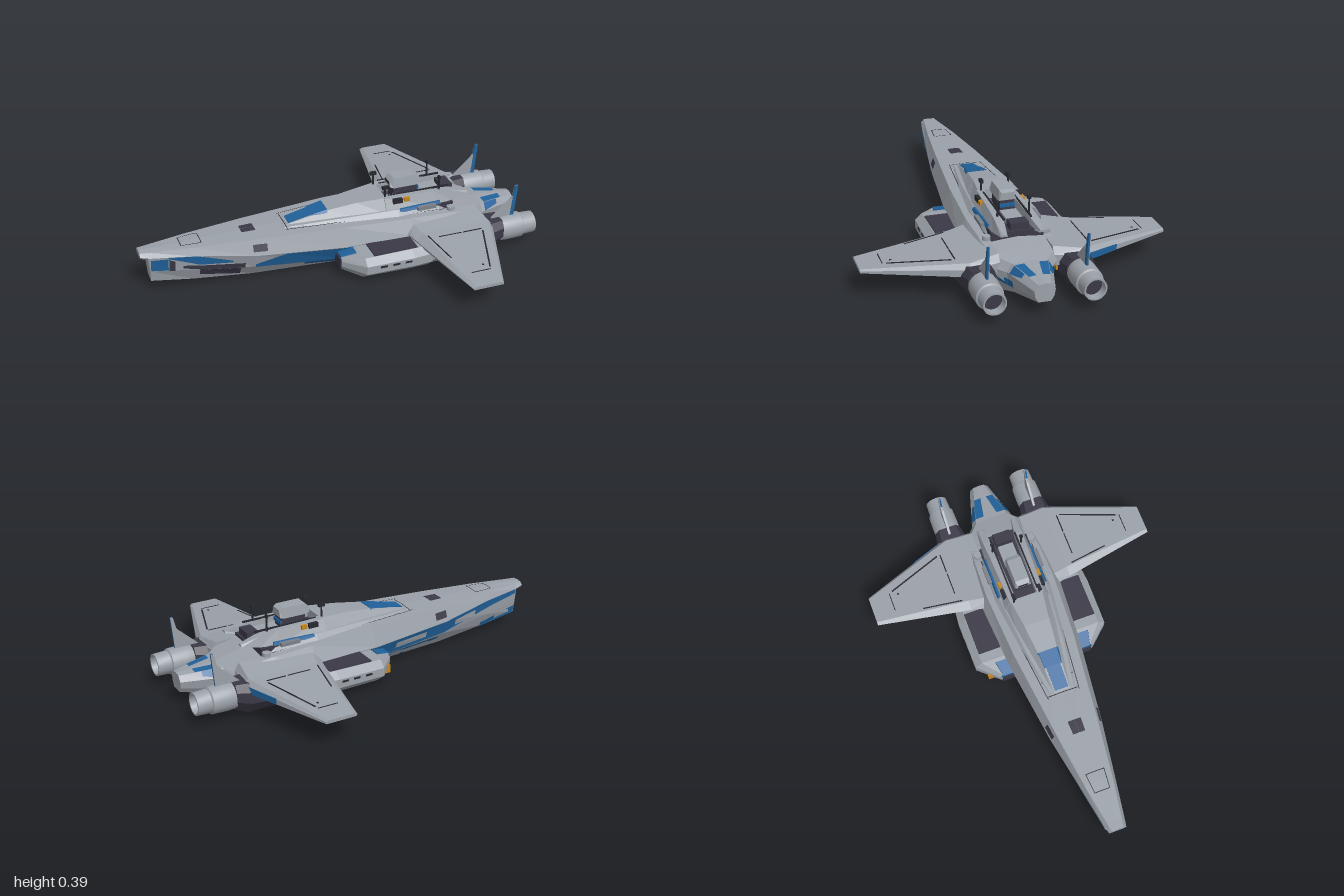
import * as THREE from 'three';
import { toCreasedNormals } from 'three/addons/utils/BufferGeometryUtils.js';

const material = (name, color) => Object.assign(new THREE.MeshStandardMaterial({ color }), { name });

export function createModel() {
  const model = new THREE.Group();
  model.name = 'starship';
  const grey = material('hull grey', 0x9ba1a9);
  const steel = material('steel grey', 0x7b8088);
  const blue = material('paint blue', 0x20619a);
  const dark = material('dark violet grey', 0x3a3845);
  const black = material('panel black', 0x26272d);
  const orange = material('marker orange', 0xc4851c);

  const add = (name, geometry, mat) => {
    const mesh = new THREE.Mesh(geometry, mat);
    mesh.name = name;
    model.add(mesh);
    return mesh;
  };
  const box = (name, mat, x0, x1, y0, y1, z0, z1) =>
    add(name, new THREE.BoxGeometry(x1 - x0, y1 - y0, Math.abs(z1 - z0)), mat)
      .position.set((x0 + x1) / 2, (y0 + y1) / 2, (z0 + z1) / 2);

  // Skin a row of cross-sections with flat faces; closed rings are capped
  const loft = (name, mat, rings, flip = false, closed = true) => {
    const out = [];
    const tri = (a, b, c) => (flip ? out.push(...a, ...c, ...b) : out.push(...a, ...b, ...c));
    const n = rings[0].length;
    for (let i = 0; i < rings.length - 1; i++) {
      for (let j = 0; j < (closed ? n : n - 1); j++) {
        const k = (j + 1) % n, [p, q] = [rings[i], rings[i + 1]];
        tri(p[j], p[k], q[k]);
        tri(p[j], q[k], q[j]);
      }
    }
    if (closed) {
      const [first, last] = [rings[0], rings[rings.length - 1]];
      for (let j = 1; j < n - 1; j++) {
        tri(first[0], first[j + 1], first[j]);
        tri(last[0], last[j], last[j + 1]);
      }
    }
    const g = new THREE.BufferGeometry();
    g.setAttribute('position', new THREE.Float32BufferAttribute(out, 3));
    g.computeVertexNormals();
    return add(name, g, mat);
  };
  // Trapezoid blocks: rows of x, bottom y, top y, bottom z range, top z range
  const block = (name, mat, rows, s = 1) => loft(name, mat, rows.map(([x, y0, y1, a0, a1, b0, b1]) =>
    [[x, y1, s * b0], [x, y1, s * b1], [x, y0, s * a1], [x, y0, s * a0]]), s < 0);

  // Main hull: x, ridge y, deck half-width/y, knuckle, lower side, keel
  const stations = [
    [-1, .225, .03, .222, .045, .207, .04, .198, .03, .194],
    [-.965, .226, .036, .222, .052, .2, .044, .19, .034, .186],
    [-.955, .226, .038, .222, .054, .198, .046, .12, .036, .06],
    [-.75, .23, .072, .226, .088, .188, .078, .105, .05, .035],
    [-.45, .235, .11, .23, .138, .152, .118, .08, .07, .012],
    [0, .24, .16, .232, .193, .137, .16, .06, .09, 0],
    [.35, .24, .18, .225, .215, .145, .15, .07, .1, 0],
    [.55, .228, .172, .212, .21, .145, .145, .07, .1, 0],
    [.69, .2, .16, .19, .195, .145, .14, .07, .1, 0],
    [.78, .18, .085, .175, .11, .135, .1, .07, .075, .03],
    [.985, .165, .03, .16, .05, .132, .045, .1, .03, .075],
  ];
  const half = ([x, t, dw, dy, kw, ky, mw, my, bw, by]) =>
    [[x, t, 0], [x, dy, dw], [x, ky, kw], [x, my, mw], [x, by, bw], [x, by, 0]];
  const mirror = ([x, y, z]) => [x, y, -z];
  loft('hull', grey, stations.map((st) => {
    const h = half(st);
    return [...h, ...h.slice(1, 5).reverse().map(mirror)];
  }));

  // Painted skins lying on a hull band; ends are [x, from, to] across the band
  const hullPoint = (band, x, t) => {
    let i = 0;
    while (i < stations.length - 2 && stations[i + 1][0] < x) i++;
    const a = stations[i], b = stations[i + 1], f = (x - a[0]) / (b[0] - a[0]);
    const h = half(a.map((v, k) => v + (b[k] - v) * f));
    return new THREE.Vector3(...h[band]).lerp(new THREE.Vector3(...h[band + 1]), t);
  };
  const BOTH = [1, -1], LEFT = [1], RIGHT = [-1];
  const paint = (name, mat, band, [x0, a0, a1], [x1, b0, b1], sides = BOTH) => {
    const xs = [x0, ...stations.map((s) => s[0]).filter((x) => x > x0 && x < x1), x1];
    const rings = xs.map((x) => {
      const f = (x - x0) / (x1 - x0);
      const p = hullPoint(band, x, a0 + (b0 - a0) * f), q = hullPoint(band, x, a1 + (b1 - a1) * f);
      const e = hullPoint(band, x, 1).sub(hullPoint(band, x, 0));
      const n = new THREE.Vector3(0, e.z, -e.y).normalize().multiplyScalar(.003);
      return [p.add(n).toArray(), q.add(n).toArray()];
    });
    for (const s of sides) loft(name, mat, s > 0 ? rings : rings.map((r) => r.map(mirror)), s < 0, false);
  };
  const TOP = 0, SIDE = 1, LOWER = 2, CHINE = 3, KEEL = 4;
  // Left flank paint
  paint('noseBluePanel', blue, LOWER, [-.953, .15, .95], [-.87, .1, .95], LEFT);
  paint('noseDarkStrip', dark, LOWER, [-.866, .15, 1], [-.838, .3, 1], LEFT);
  paint('flankBlueWedge', blue, LOWER, [-.87, 0, .08], [-.72, 0, .62], LEFT);
  paint('flankBlueWedgeAft', blue, LOWER, [-.72, 0, .62], [-.56, .35, .5], LEFT);
  paint('flankDarkPatch', dark, LOWER, [-.8, .65, .85], [-.7, .68, 1], LEFT);
  paint('flankDarkPatchAft', dark, LOWER, [-.7, .68, 1], [-.5, .6, 1], LEFT);
  paint('flankDarkChine', dark, CHINE, [-.72, 0, .5], [-.52, 0, .75], LEFT);
  paint('flankBlueSweep', blue, LOWER, [-.45, .75, 1], [-.3, 0, 1], LEFT);
  paint('flankBlueAft', blue, LOWER, [-.3, 0, 1], [.02, 0, 1], LEFT);
  // Right flank paint
  paint('noseBlueStreak', blue, LOWER, [-.95, 0, .3], [-.78, 0, .45], RIGHT);
  paint('flankBlueSweep', blue, LOWER, [-.78, 0, .45], [-.45, 0, .9], RIGHT);
  paint('flankBlueAft', blue, LOWER, [-.45, 0, .9], [.02, 0, 1], RIGHT);
  paint('chineBlueSweep', blue, CHINE, [-.42, .1, .3], [-.2, 0, .9], RIGHT);
  paint('chineBlueNose', blue, CHINE, [-.95, .3, 1], [-.72, .6, 1], RIGHT);
  // Belly paint
  paint('chineBlueAft', blue, CHINE, [-.2, 0, .4], [-.02, 0, .7]);
  paint('keelBlue', blue, KEEL, [-.95, 0, 1], [-.55, 0, 1]);
  paint('keelDark', dark, KEEL, [-.55, .4, 1], [-.4, 0, 1]);
  paint('keelDarkAft', dark, KEEL, [-.4, 0, 1], [.62, 0, 1]);
  paint('chineDark', dark, CHINE, [-.02, .3, 1], [.62, .2, 1]);
  // Stern paint
  paint('keelSternBlue', blue, KEEL, [.7, 0, .8], [.82, .2, 1]);
  paint('tailBluePatch', blue, TOP, [.8, .45, 1], [.91, .3, 1]);
  paint('tailBlueSide', blue, SIDE, [.8, 0, 1], [.88, 0, .6]);
  paint('tailBlueLower', blue, LOWER, [.72, .4, 1], [.82, .5, 1]);
  // Deck details
  paint('deckHatch', dark, TOP, [-.49, 0, .3], [-.42, 0, .3]);
  for (const x of [-.8, -.7, -.27, -.19]) paint('deckSeam', black, TOP, [x, 0, .6], [x + .004, 0, .6]);
  paint('deckLongSeam', black, TOP, [-.8, .57, .62], [-.7, .57, .62]);
  paint('deckEdgeSeam', black, TOP, [-.28, .62, .645], [.55, .8, .82]);
  paint('sideVent', dark, SIDE, [-.46, .3, .75], [-.39, .3, .75]);

  // Superstructure: forward ramp, low deck, twin side blocks and a dark trench
  const sym = (x, y0, y1, a, b) => [x, y0, y1, -a, a, -b, b];
  block('lowDeck', grey, [sym(-.28, .228, .236, .07, .06), sym(0, .228, .25, .12, .1),
    sym(.3, .225, .255, .15, .125), sym(.52, .21, .25, .145, .12), sym(.56, .21, .24, .13, .11)]);
  block('bridgeRamp', grey, [sym(-.26, .23, .238, .05, .04), sym(-.05, .235, .282, .085, .05),
    sym(.1, .235, .302, .11, .065), sym(.25, .235, .312, .125, .085)]);
  block('bridgeBluePanel', blue, [sym(-.25, .236, .243, .035, .035), sym(-.13, .262, .27, .037, .037)]);
  block('bridgeBlueWindow', blue, [sym(-.13, .25, .27, .052, .044), sym(-.05, .268, .286, .06, .048)]);
  box('trenchFloor', dark, .23, .64, .25, .265, -.07, .07);
  box('aftDarkDeck', dark, .5, .6, .19, .247, -.128, .128);
  for (const s of [1, -1]) {
    block('sideBlock', grey, [[.24, .235, .312, .055, .128, .055, .09], [.5, .24, .308, .055, .125, .06, .1],
      [.6, .25, .298, .06, .118, .065, .105], [.69, .268, .278, .075, .11, .08, .1]], s);
    block('sideBlueStripe', blue, [[.31, .24, .256, .1, .135, .1, .128], [.53, .246, .262, .1, .13, .1, .124]], s);
    box('orangeWindow', orange, .34, .37, .285, .305, s * .09, s * .112);
    box('darkWindow', black, .28, .33, .282, .306, s * .09, s * .112);
    box('trenchRail', black, .27, .6, .306, .314, s * .062, s * .07);
    add('sensorDrum', new THREE.CylinderGeometry(.02, .02, .02, 12), grey).position.set(.58, .222, s * .145);
    box('deckBox', steel, .4, .5, .24, .258, s * .13, s * .15);
  }
  box('towerNeck', dark, .31, .44, .26, .34, -.034, .034);
  block('tower', grey, [sym(.29, .34, .365, .042, .03), sym(.31, .332, .384, .044, .036),
    sym(.43, .332, .384, .044, .036), sym(.45, .338, .375, .042, .03)]);
  box('towerWindow', black, .288, .295, .35, .362, -.025, .025);
  box('towerBlueFoot', blue, .438, .447, .3, .318, -.036, .036);
  box('trenchMachinery', grey, .45, .56, .26, .29, -.04, .04);
  box('trenchTank', dark, .57, .63, .26, .3, -.045, .045);
  for (const [x, z, y] of [[.24, -.07, .382], [.25, .07, .37], [.54, -.075, .39], [.54, .08, .38]]) {
    add('mast', new THREE.CylinderGeometry(.004, .006, y - .28, 6), black).position.set(x, (y + .28) / 2, z);
    const w = x < .4 ? .016 : .006;
    box('mastHead', black, x - w, x + w, y - .016, y, z - .008, z + .008);
  }

  // Octagonal nacelle rings: x, inner z, outer z, bottom y, top y
  const podRings = (rows, s) => rows.map(([x, zi, zo, lo, hi]) => {
    const c = (zo - zi) * .16, d = (zo - zi) * .28, h = hi - lo;
    return [[zi + c, hi], [zo - c, hi], [zo, hi - h * .25], [zo, lo + h * .4],
      [zo - d, lo], [zi + d, lo], [zi, lo + h * .4], [zi, hi - h * .25]].map(([z, y]) => [x, y, s * z]);
  });
  const profile = [[0, .78], [.06, .78], [.066, .81], [.068, .85], [.066, .925], [.058, .93],
    [.055, 1], [.047, 1], [.044, .95]].map(([r, h]) => new THREE.Vector2(r, h));
  const nozzle = toCreasedNormals(new THREE.LatheGeometry(profile, 24).rotateZ(-Math.PI / 2), .4);

  for (const s of [1, -1]) {
    // Engine nacelle
    loft('nacelleFront', grey, podRings([[-.045, .14, .25, .04, .115], [.05, .13, .352, .012, .135],
      [.3, .13, .355, .008, .138], [.4, .13, .345, .006, .138]], s), s < 0);
    loft('nacelleMiddle', grey, podRings([[.4, .14, .335, .01, .135], [.56, .15, .325, .008, .14]], s), s < 0);
    loft('nacelleRear', dark, podRings([[.56, .15, .318, .012, .15], [.74, .155, .315, .012, .172],
      [.81, .168, .302, .04, .174]], s), s < 0);
    box('nacelleTopVent', dark, .1, .33, .134, .142, s * .2, s * .315);
    box('intakeFace', dark, -.051, -.043, .05, .105, s * .155, s * .24);
    block('intakeBlueCheek', blue, [[-.046, .1, .117, .16, .248, .16, .235], [.03, .11, .137, .18, .26, .19, .25]], s);
    box('nacelleOrangeMark', orange, .24, .28, .004, .012, s * .22, s * .26);
    for (let i = 0; i < 3; i++) box('nacelleSlot', black, .12 + i * .065, .155 + i * .065, .086, .096, s * .34, s * .356);

    // Exhaust nozzle
    add('nozzle', nozzle, grey).position.set(0, .106, s * .235);
    const core = add('nozzleCore', new THREE.CircleGeometry(.047, 24), dark);
    core.rotation.y = Math.PI / 2;
    core.position.set(.96, .106, s * .235);

    // Wing with a square trailing edge and blue underside
    const wingRing = ([z, le, te, lo, hi]) => {
      const c = (te - le) * .1, h = hi - lo;
      return [[le, lo + h / 2], [le + c * .4, lo], [te, lo], [te, lo + h * .6], [te - c * .5, hi], [le + c, hi]]
        .map(([x, y]) => [x, y, s * z]);
    };
    loft('wing', grey, [[.13, .3, .74, .115, .205], [.27, .335, .757, .122, .184],
      [.745, .43, .588, .131, .147]].map(wingRing), s < 0);
    loft('wingBlueUnderside', blue, [[.27, .353, .752, .12], [.62, .418, .627, .1266], [.735, .47, .588, .1288]]
      .map(([z, a, b, y]) => [[a, y], [b, y], [b, y + .004], [a, y + .004]].map(([x, h]) => [x, h, s * z])), s < 0);
    // Wing panel seams, following the sloped top
    const top = (z) => .1845 - (z - .27) * .0779;
    const seam = (xa, za, xb, zb, w = .004) => {
      const ring = (x, z) => [[x - w, top(z)], [x + w, top(z)], [x + w, top(z) + .002], [x - w, top(z) + .002]]
        .map(([px, y]) => [px, y, s * z]);
      loft('wingSeam', black, [ring(xa, za), ring(xb, zb)], s < 0);
    };
    seam(.67, .34, .575, .62);
    seam(.5, .32, .5, .325, .06);
    seam(.52, .635, .52, .639, .05);
    seam(.39, .3, .425, .5, .003);
    seam(.55, .59, .55, .6);
    seam(.62, .32, .62, .326, .05);

    // Swept tail fin, painted blue on its left face and trailing edge
    const fin = (name, mat, pts, z0, z1) => {
      const shape = new THREE.Shape(pts.map((p) => new THREE.Vector2(...p)));
      const g = new THREE.ExtrudeGeometry(shape, { depth: z1 - z0, bevelEnabled: false });
      add(name, g, mat).position.z = s * .235 + z0;
    };
    const rear = [[.868, .16], [.89, .165], [.906, .338], [.892, .335], [.88, .285]];
    fin('finFront', grey, [[.76, .165], [.87, .165], [.882, .285], [.865, .262]], -.006, .006);
    fin('finRear', grey, rear, -.006, -.003);
    fin('finBlueFace', blue, rear, -.003, .006);
  }

  // One-sided markings: wing trailing edge, intake corner and stern
  loft('wingBlueTrailingEdge', blue, [[.275, .755, .122, .158], [.46, .689, .126, .154]].map(([z, x, y0, y1]) =>
    [[x - .004, y0], [x + .003, y0], [x + .003, y1], [x - .004, y1]].map(([px, y]) => [px, y, -z])), true);
  box('intakeOrangeMark', orange, -.014, .025, .045, .085, -.305, -.275);
  box('sternOrangeMark', orange, .7, .73, .085, .13, -.162, -.145);
  return model;
}
